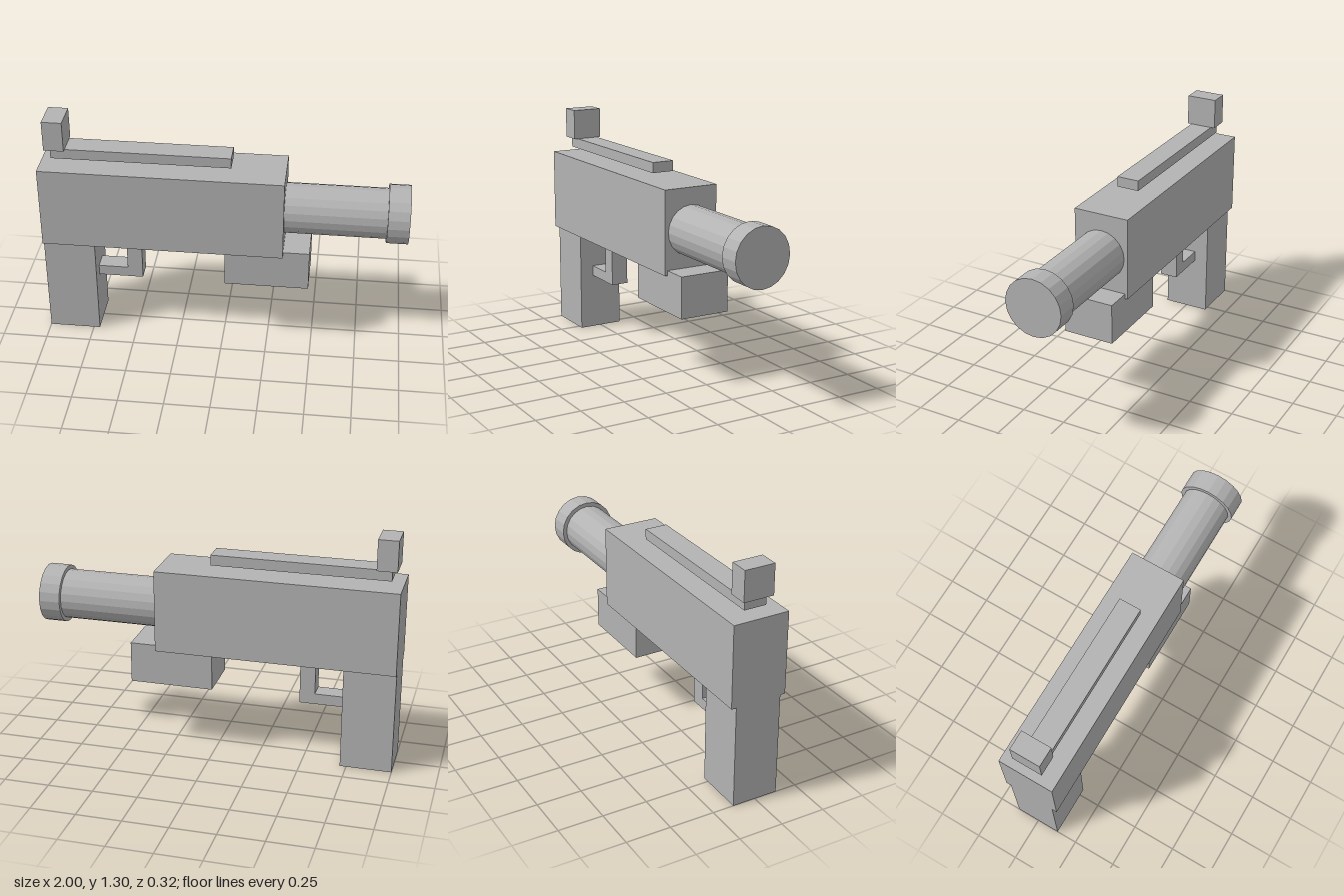
import * as THREE from 'three';

const grey = new THREE.MeshStandardMaterial({ color: 0xb3b3b3, flatShading: true });
grey.name = 'grey';

// Box given by its x and y limits and full depth, centred on z = 0
function block(name, x0, x1, y0, y1, depth) {
  const mesh = new THREE.Mesh(new THREE.BoxGeometry(x1 - x0, y1 - y0, depth), grey);
  mesh.position.set((x0 + x1) / 2, (y0 + y1) / 2, 0);
  mesh.name = name;
  return mesh;
}

// Faceted cylinder lying along x
function tube(name, x0, x1, y, radius) {
  const geometry = new THREE.CylinderGeometry(radius, radius, x1 - x0, 20);
  geometry.rotateZ(-Math.PI / 2);
  const mesh = new THREE.Mesh(geometry, grey);
  mesh.position.set((x0 + x1) / 2, y, 0);
  mesh.name = name;
  return mesh;
}

// L-shaped trigger guard, cut as one outline
function triggerGuard() {
  const outline = [
    [-0.715, 0.32], [-0.465, 0.32], [-0.465, 0.582],
    [-0.55, 0.582], [-0.55, 0.38], [-0.715, 0.38],
  ];
  const shape = new THREE.Shape(outline.map(([x, y]) => new THREE.Vector2(x, y)));
  const geometry = new THREE.ExtrudeGeometry(shape, { depth: 0.1, bevelEnabled: false });
  geometry.translate(0, 0, -0.05);
  const mesh = new THREE.Mesh(geometry, grey);
  mesh.name = 'triggerGuard';
  return mesh;
}

export function createModel() {
  const model = new THREE.Group();
  model.name = 'blockyToyBlaster';
  model.add(
    block('body', -1, 0.33, 0.582, 1.045, 0.316),
    block('rearGrip', -1, -0.715, 0, 0.582, 0.26),
    block('foreGrip', 0.01, 0.475, 0.38, 0.61, 0.286),
    block('topRail', -0.94, 0.038, 1.076, 1.134, 0.126),
    block('rearSight', -0.97, -0.86, 1.134, 1.305, 0.172),
    triggerGuard(),
    tube('barrel', 0.3, 0.885, 0.813, 0.138),
    tube('barrelCollar', 0.882, 1, 0.813, 0.161),
  );
  return model;
}
